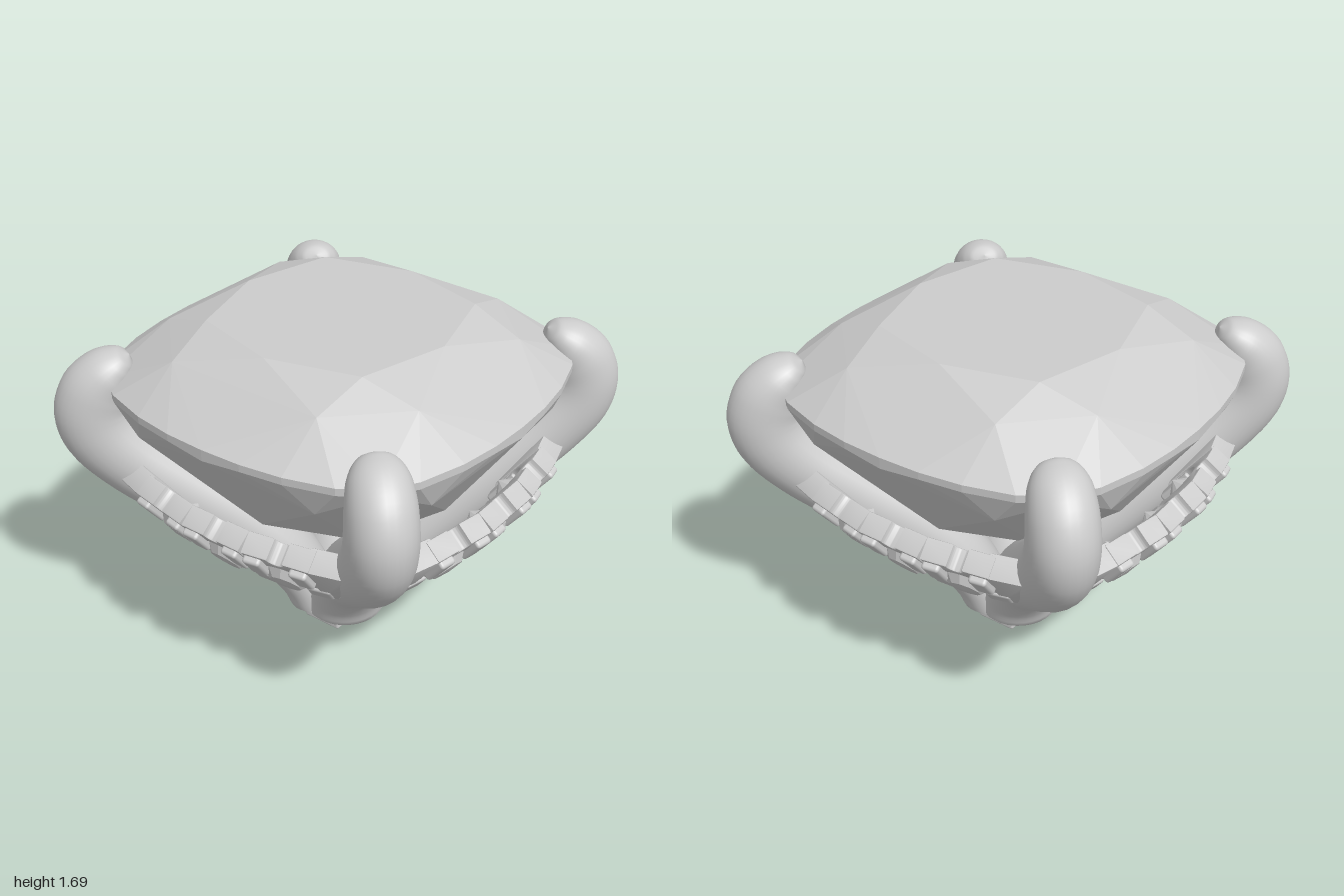
import * as THREE from 'three';
import { RoundedBoxGeometry } from 'three/addons/geometries/RoundedBoxGeometry.js';
import { ConvexGeometry } from 'three/addons/geometries/ConvexGeometry.js';
import { toCreasedNormals } from 'three/addons/utils/BufferGeometryUtils.js';

const metal = new THREE.MeshStandardMaterial({ color: 0xcccccc });
metal.name = 'pale grey';

function part(name, geometry, parent, x = 0, y = 0, z = 0) {
  const mesh = new THREE.Mesh(geometry, metal);
  mesh.name = name;
  mesh.position.set(x, y, z);
  parent.add(mesh);
  return mesh;
}

// Cushion-cut stone: facet corners of one octant, mirrored eight ways, then hulled
function gemGeometry() {
  const girdle = [[0, 0.97], [0.2, 0.962], [0.4, 0.932], [0.62, 0.865], [0.765, 0.765]];
  const octant = [
    [0, 1.69, 0.555], [0.435, 1.69, 0.435], // table
    [0.4, 1.605, 0.7], // crown
    [0.5, 1.25, 0.845], [0, 0.85, 0.6], [0.43, 0.85, 0.43], [0, 0.45, 0], // pavilion
  ];
  for (const [x, z] of girdle) octant.push([x, 1.435, z], [x, x === 0 ? 1.38 : 1.4, z]);
  const points = [];
  for (const [a, y, b] of octant) {
    for (const sx of [-1, 1]) for (const sz of [-1, 1]) {
      points.push(new THREE.Vector3(sx * a, y, sz * b), new THREE.Vector3(sx * b, y, sz * a));
    }
  }
  const unique = new Map(points.map(p => [p.toArray().map(v => (v + 0).toFixed(3).replace('-0.000', '0.000')).join(), p]));
  return new ConvexGeometry([...unique.values()]);
}

// Curved claw: elliptical sections swept up a curve in the x-y plane
function clawGeometry() {
  // [distance along x and z, height, radial half-width, tangential half-width]
  const stations = [
    [0.1, 0.105, 0.13, 0.185], [0.135, 0.24, 0.14, 0.18], [0.225, 0.43, 0.16, 0.17],
    [0.39, 0.64, 0.175, 0.165], [0.57, 0.84, 0.175, 0.16], [0.72, 1.02, 0.175, 0.158],
    [0.8, 1.16, 0.178, 0.157], [0.82, 1.27, 0.175, 0.155], [0.8, 1.38, 0.16, 0.15],
    [0.755, 1.465, 0.125, 0.135], [0.718, 1.51, 0.085, 0.105], [0.697, 1.532, 0.053, 0.068],
    [0.685, 1.545, 0.001, 0.001],
  ];
  const path = new THREE.CatmullRomCurve3(stations.map(s => new THREE.Vector3(s[0] * Math.SQRT2, s[1], 0)));
  const size = new THREE.CatmullRomCurve3(stations.map(s => new THREE.Vector3(s[2], s[3], 0)));
  const rings = 60, sides = 28, pos = [], index = [];
  const ring = (i) => {
    const t = i / rings, c = path.getPoint(t), s = size.getPoint(t);
    const d = i === 0 ? new THREE.Vector3(0, 1, 0) : path.getTangent(t);
    for (let k = 0; k < sides; k++) {
      const a = k / sides * Math.PI * 2, r = Math.cos(a) * s.x;
      pos.push(c.x + d.y * r, c.y - d.x * r, Math.sin(a) * s.y);
    }
  };
  for (let i = 0; i <= rings; i++) ring(i);
  for (let i = 0; i < rings; i++) for (let k = 0; k < sides; k++) {
    const a = i * sides + k, b = i * sides + (k + 1) % sides;
    index.push(a, a + sides, b, b, a + sides, b + sides);
  }
  // flat foot
  const foot = pos.length / 3;
  ring(0);
  for (let k = 1; k < sides - 1; k++) index.push(foot, foot + k, foot + k + 1);
  const g = new THREE.BufferGeometry();
  g.setAttribute('position', new THREE.Float32BufferAttribute(pos, 3));
  g.setIndex(index);
  g.computeVertexNormals();
  return g;
}

function plate(shape, depth) {
  const g = new THREE.ExtrudeGeometry(shape, {
    depth, bevelEnabled: true, bevelSize: 0.008, bevelThickness: 0.008, bevelSegments: 2, curveSegments: 12,
  });
  g.translate(0, 0, -depth / 2);
  return toCreasedNormals(g, 0.7);
}

// Rail section arched over one small stone, with a notch in its upper edge
function bayGeometry() {
  const s = new THREE.Shape();
  s.moveTo(-0.155, -0.06);
  s.lineTo(-0.112, -0.06);
  s.absarc(0, -0.01, 0.122, Math.PI * 1.13, -Math.PI * 0.13, true);
  s.lineTo(0.155, -0.06);
  s.lineTo(0.155, 0.18);
  s.lineTo(0.075, 0.18);
  s.absarc(0, 0.18, 0.045, 0, Math.PI, true);
  s.lineTo(-0.155, 0.18);
  s.closePath();
  return plate(s, 0.09);
}

function endGeometry(side) {
  const s = new THREE.Shape();
  [[-0.06, -0.17], [0.0, -0.17], [0.1, 0.13], [0.1, 0.18], [-0.06, 0.18]]
    .forEach(([x, y], i) => (i ? s.lineTo(x * side, y) : s.moveTo(x * side, y)));
  s.closePath();
  return plate(s, 0.1);
}

function smallStoneGeometry() {
  const profile = [[0, -0.1], [0.07, -0.05], [0.122, 0], [0.115, 0.025], [0.075, 0.065], [0, 0.072]];
  const g = new THREE.LatheGeometry(profile.map(p => new THREE.Vector2(...p)), 10);
  g.rotateX(Math.PI / 2);
  return toCreasedNormals(g, 0.05);
}

export function createModel() {
  const model = new THREE.Group();
  model.name = 'stoneSetting';

  part('centreStone', gemGeometry(), model);
  part('basePeg', new RoundedBoxGeometry(0.35, 0.11, 0.21, 2, 0.012), model, 0, 0.055, 0);

  const claw = clawGeometry();
  const bay = bayGeometry();
  const stone = smallStoneGeometry();
  const ends = { '-1': endGeometry(-1), 1: endGeometry(1) };
  const upperTab = new RoundedBoxGeometry(0.085, 0.15, 0.08, 2, 0.015);
  const lowerTab = new RoundedBoxGeometry(0.12, 0.1, 0.11, 2, 0.015);
  const bridge = new RoundedBoxGeometry(0.05, 0.12, 0.07, 1, 0.01);

  for (let q = 0; q < 4; q++) {
    part('claw', claw, model).rotation.y = Math.PI / 4 + q * Math.PI / 2;

    // Bowed, outward-leaning gallery rail on each side
    const rail = new THREE.Group();
    rail.name = 'galleryRail';
    rail.rotation.y = q * Math.PI / 2;
    model.add(rail);
    const station = (name, x) => {
      const g = new THREE.Group();
      g.name = name;
      g.position.set(x, 0.86, 0.8 - 0.3 * x * x);
      g.rotation.set(0.66, Math.atan(0.6 * x), 0, 'YXZ');
      rail.add(g);
      return g;
    };
    for (const x of [-0.31, 0, 0.31]) {
      const g = station('stoneBay', x);
      part('railSection', bay, g);
      part('smallStone', stone, g, 0, -0.01, 0.02);
      for (const s of [-1, 1]) part('upperTab', upperTab, g, s * 0.112, 0.1, 0.045);
    }
    for (const x of [-0.43, -0.155, 0.155, 0.43]) {
      const g = station('lowerMount', x);
      part('lowerTab', lowerTab, g, 0, -0.13, 0.01);
      part('bridge', bridge, g, 0, -0.06, -0.01);
    }
    for (const s of [-1, 1]) part('railEnd', ends[s], station('railEndMount', s * 0.5));
  }
  return model;
}
